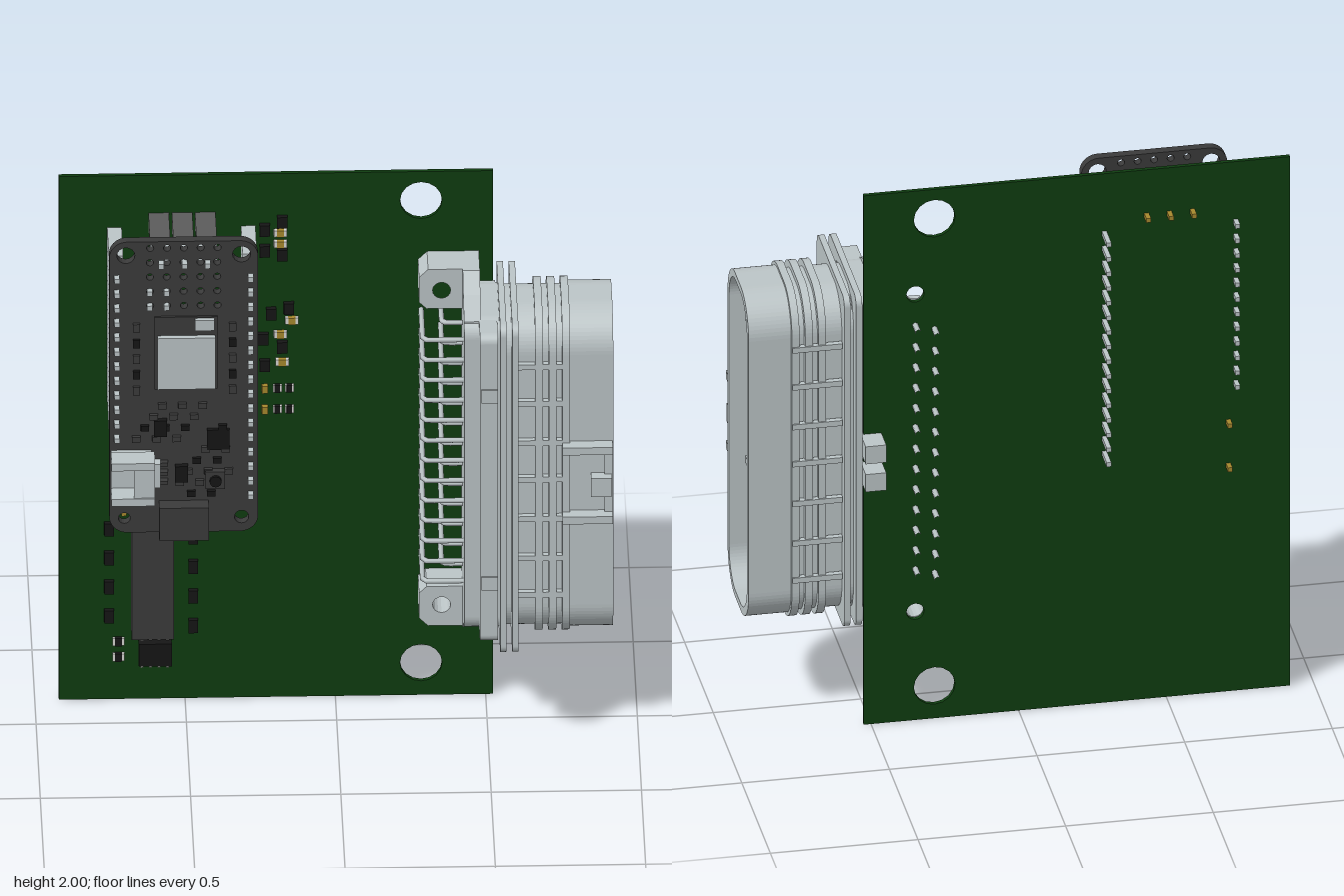
import * as THREE from 'three';

const mat = (name, color) => Object.assign(new THREE.MeshStandardMaterial({ color }), { name });

export function createModel() {
  const root = new THREE.Group();
  root.name = 'circuitBoardAssembly';
  const green = mat('boardGreen', 0x0f3d10), light = mat('lightGrey', 0xbcc5c7), dark = mat('darkGrey', 0x3b3b3b);
  const black = mat('black', 0x161616), grey = mat('headerGrey', 0x5c5c5c), gold = mat('gold', 0xa8892e);
  const white = mat('padWhite', 0xd8d8d4);

  const group = (name) => { const g = new THREE.Group(); g.name = name; root.add(g); return g; };
  const add = (parent, name, geo, m) => {
    const mesh = new THREE.Mesh(geo, m);
    mesh.name = name;
    parent.add(mesh);
    return mesh;
  };
  // box given by its limits on each axis
  const box = (parent, name, m, x0, x1, y0, y1, z0, z1) => {
    const b = add(parent, name, new THREE.BoxGeometry(x1 - x0, y1 - y0, z1 - z0), m);
    b.position.set((x0 + x1) / 2, (y0 + y1) / 2, (z0 + z1) / 2);
    return b;
  };
  const roundRect = (x0, x1, y0, y1, r, C = THREE.Shape) => {
    const s = new C();
    s.moveTo(x0 + r, y0);
    s.lineTo(x1 - r, y0); s.absarc(x1 - r, y0 + r, r, -Math.PI / 2, 0);
    s.lineTo(x1, y1 - r); s.absarc(x1 - r, y1 - r, r, 0, Math.PI / 2);
    s.lineTo(x0 + r, y1); s.absarc(x0 + r, y1 - r, r, Math.PI / 2, Math.PI);
    s.lineTo(x0, y0 + r); s.absarc(x0 + r, y0 + r, r, Math.PI, Math.PI * 1.5);
    s.closePath();
    return s;
  };
  const hole = (s, x, y, r) => s.holes.push(new THREE.Path().absarc(x, y, r, 0, Math.PI * 2, true));
  const plate = (parent, name, m, shape, z0, z1) => {
    const g = new THREE.ExtrudeGeometry(shape, { depth: z1 - z0, bevelEnabled: false, curveSegments: 8 });
    return add(parent, name, g.translate(0, 0, z0), m);
  };
  // extrude a (-z, y) outline along x
  const alongX = (parent, name, m, shape, x0, x1) => {
    const g = new THREE.ExtrudeGeometry(shape, { depth: x1 - x0, bevelEnabled: false, curveSegments: 8 });
    return add(parent, name, g.rotateY(Math.PI / 2).translate(x0, 0, 0), m);
  };
  const ring = (z0, z1, y0, y1, r, open = true) => {
    const s = roundRect(-z1, -z0, y0, y1, r);
    if (open) s.holes.push(roundRect(-0.163, 0.15, 0.425, 1.6, 0.115, THREE.Path));
    return s;
  };

  // main board
  const F = -0.163;
  const pcb = roundRect(-0.92, 0.525, 0, 2, 0.002);
  for (const y of [0.123, 1.89]) hole(pcb, 0.285, y, 0.07);
  for (const y of [0.41, 1.61]) hole(pcb, 0.35, y, 0.03);
  plate(root, 'mainBoard', green, pcb, -0.178, F);

  // connector housing
  const con = group('connector');
  alongX(con, 'connectorBase', light, ring(-0.16, 0.165, 0.42, 1.6, 0.06, false), 0.42, 0.56);
  alongX(con, 'connectorFlange', light, ring(-0.16, 0.245, 0.425, 1.595, 0.03, false), 0.47, 0.53);
  alongX(con, 'connectorShell', light, ring(-0.175, 0.178, 0.405, 1.615, 0.13), 0.55, 0.78);
  alongX(con, 'connectorRim', light, ring(-0.182, 0.188, 0.4, 1.625, 0.135), 0.77, 0.915);
  for (const x of [0.537, 0.577]) alongX(con, 'sealRidge', light, ring(-0.217, 0.265, 0.388, 1.638, 0.035), x, x + 0.021);
  for (const x of [0.655, 0.7, 0.745]) alongX(con, 'gripRib', light, ring(-0.195, 0.2, 0.39, 1.635, 0.14), x, x + 0.026);
  for (const y of [0.58, 0.72, 0.87, 1.02, 1.16, 1.31, 1.45])
    for (const z of [-0.188, 0.19]) box(con, 'crossRib', light, 0.6, 0.77, y - 0.01, y + 0.01, z - 0.012, z + 0.008);
  for (const y of [0.655, 1.37]) box(con, 'flangeTab', light, 0.475, 0.53, y - 0.025, y + 0.025, 0.24, 0.252);
  for (const y of [0.96, 1.065]) box(con, 'boardHook', light, 0.465, 0.535, y - 0.033, y + 0.033, -0.265, -0.15);
  // latch on the housing front
  for (const y of [0.883, 1.147]) box(con, 'latchRail', light, 0.745, 0.912, y - 0.014, y + 0.014, 0.18, 0.235);
  box(con, 'latchTab', light, 0.84, 0.91, 0.97, 1.04, 0.18, 0.23);
  box(con, 'latchBridge', light, 0.885, 0.912, 0.87, 1.16, 0.18, 0.2);
  // keys inside the opening
  for (const [y, z] of [[1.4, 0.13], [0.86, 0.13], [1.29, -0.12], [0.75, -0.12]])
    box(con, 'innerKey', light, 0.55, 0.86, y - 0.013, y + 0.013, z - 0.03, z + 0.03);

  // mounting ears, mirrored top and bottom about y = 1.014
  for (const s of [1, -1]) {
    const Y = (v) => 1.014 + s * (v - 1.014);
    const ear = new THREE.Shape();
    [[0.475, 1.545], [0.3, 1.545], [0.275, 1.57], [0.275, 1.665], [0.305, 1.695], [0.45, 1.695], [0.475, 1.67]]
      .forEach(([x, y], i) => (i ? ear.lineTo(x, Y(y)) : ear.moveTo(x, Y(y))));
    hole(ear, 0.35, Y(1.615), 0.03);
    plate(con, 'mountingEar', light, ear, F, -0.04);
    const web = new THREE.Shape();
    [[-0.163, 1.55], [-0.163, 1.695], [-0.03, 1.695], [0.04, 1.64], [0.14, 1.595], [0.14, 1.55]]
      .forEach(([z, y], i) => (i ? web.lineTo(-z, Y(y)) : web.moveTo(-z, Y(y))));
    alongX(con, 'earWeb', light, web, 0.42, 0.477);
  }

  // connector contacts: two bent rows plus the tips inside the shell
  const rod = (parent, name, m, pts, r) => {
    const path = new THREE.CurvePath();
    const v = pts.map((p) => new THREE.Vector3(...p));
    for (let i = 1; i < v.length; i++) path.add(new THREE.LineCurve3(v[i - 1], v[i]));
    return add(parent, name, new THREE.TubeGeometry(path, 18, r, 6), m);
  };
  for (let i = 0; i < 13; i++) {
    const y = 0.552 + i * 0.0768;
    for (const [x, z, dy] of [[0.285, 0.045, 0], [0.35, -0.035, 0.02]]) {
      rod(con, 'contactPin', light, [[x, y + dy, -0.232], [x, y + dy, z - 0.015], [x + 0.015, y + dy, z], [0.44, y + dy, z]], 0.01);
      box(con, 'contactTip', light, 0.55, 0.8, y - 0.01, y + 0.01, z + 0.002, z + 0.022);
    }
  }

  // daughter board
  const top = group('daughterBoard');
  const fb = roundRect(-0.76, -0.265, 0.8, 1.91, 0.06);
  for (const [x, y, r] of [[-0.705, 1.858, 0.03], [-0.32, 1.858, 0.03], [-0.71, 0.855, 0.02], [-0.32, 0.855, 0.024]]) hole(fb, x, y, r);
  for (let r = 0; r < 5; r++) for (let c = 0; c < 5; c++)
    hole(fb, -0.625 + c * 0.056 + (r % 4 ? 0 : 0.001), 1.885 - r * 0.055, 0.012);
  plate(top, 'daughterPlate', dark, fb, 0.095, 0.127);
  box(top, 'radioModuleBase', dark, -0.61, -0.4, 1.35, 1.625, 0.127, 0.135);
  box(top, 'radioShield', light, -0.6, -0.408, 1.36, 1.555, 0.135, 0.155);
  box(top, 'antennaChip', light, -0.475, -0.41, 1.58, 1.62, 0.135, 0.15);
  box(top, 'usbSocket', dark, -0.595, -0.43, 0.795, 0.92, 0.127, 0.18);
  box(top, 'processor', black, -0.435, -0.36, 1.12, 1.195, 0.127, 0.142);
  box(top, 'resetButton', dark, -0.44, -0.375, 0.975, 1.04, 0.127, 0.15);
  const button = add(top, 'buttonCap', new THREE.CylinderGeometry(0.02, 0.02, 0.012, 12), black);
  button.rotation.x = Math.PI / 2;
  button.position.set(-0.407, 1.007, 0.155);
  // battery socket
  box(top, 'socketBack', light, -0.63, -0.59, 0.99, 1.08, 0.127, 0.165);
  box(top, 'socketFloor', light, -0.755, -0.62, 0.955, 1.115, 0.127, 0.15);
  for (const y of [0.955, 1.09]) box(top, 'socketWall', light, -0.755, -0.61, y, y + 0.028, 0.145, 0.225);
  box(top, 'socketRoof', light, -0.68, -0.61, 0.955, 1.118, 0.185, 0.22);
  for (const y of [1.0, 1.035, 1.07]) box(top, 'socketLead', dark, -0.6, -0.565, y - 0.006, y + 0.006, 0.127, 0.15);
  // small parts across the lower half
  for (let i = 0; i < 34; i++) {
    const x = -0.68 + ((i * 37) % 34) * 0.0096, y = 0.95 + (i % 9) * 0.042;
    if (x < -0.55 && y < 1.13) continue;
    box(top, 'smallPart', i % 3 ? dark : black, x - 0.014, x + 0.014, y - 0.01, y + 0.01, 0.127, 0.14);
  }
  for (const x of [-0.67, -0.35]) for (let i = 0; i < 5; i++)
    box(top, 'sidePart', i % 2 ? black : dark, x - 0.012, x + 0.012, 1.33 + i * 0.06, 1.36 + i * 0.06, 0.127, 0.138);
  for (const [x, y] of [[-0.59, 1.205], [-0.52, 1.03]])
    box(top, 'smallChip', black, x - 0.022, x + 0.022, y - 0.03, y + 0.03, 0.127, 0.147);

  // stacking headers, one cell per pin
  const headers = group('headers');
  const cell = (x, y, m, pinMat, back, w = 0.024) => {
    box(headers, 'headerSocket', m, x - w, x + w, y - 0.027, y + 0.027, F, 0.028);
    box(headers, 'headerSpacer', light, x - w, x + w, y - 0.02, y + 0.02, 0.04, 0.095);
    box(headers, 'headerPin', pinMat, x - 0.008, x + 0.008, y - 0.008, y + 0.008, back, -0.16);
    box(headers, 'headerPinTop', light, x - 0.009, x + 0.009, y - 0.009, y + 0.009, 0.02, 0.155);
  };
  for (let i = 0; i < 16; i++) {
    cell(-0.29, 1.775 - i * 0.0554, light, light, -0.262);
    if (i < 12) cell(-0.735, 1.775 - i * 0.0554, light, light, -0.217);
  }
  for (const x of [-0.588, -0.51, -0.433]) cell(x, 1.829, grey, gold, -0.217, 0.034);
  for (const y of [1.02, 0.855]) {
    box(headers, 'postSocket', grey, -0.735, -0.685, y - 0.025, y + 0.025, F, 0.028);
    box(headers, 'postPin', gold, -0.718, -0.702, y - 0.008, y + 0.008, -0.212, 0.1);
  }
  for (const [x, y] of [[-0.57, 1.72], [-0.626, 1.72], [-0.57, 1.665], [-0.626, 1.665]])
    box(headers, 'protoPin', light, x - 0.009, x + 0.009, y - 0.009, y + 0.009, 0.1, 0.145);

  // parts soldered to the main board
  const parts = group('boardParts');
  box(parts, 'relay', dark, -0.68, -0.54, 0.28, 0.715, F, -0.065);
  box(parts, 'driverChip', black, -0.655, -0.545, 0.145, 0.23, F, -0.122);
  for (let i = 0; i < 4; i++)
    box(parts, 'chipLead', white, -0.648 + i * 0.028, -0.638 + i * 0.028, 0.125, 0.25, F, -0.15);
  const smd = (x, y, w, h, m, z = -0.145) => box(parts, 'surfacePart', m, x - w, x + w, y - h, y + h, F, z);
  for (let i = 0; i < 4; i++) {
    smd(-0.753, 0.655 - i * 0.111, 0.016, 0.024, black);
    smd(-0.473, 0.62 - i * 0.113, 0.016, 0.024, black);
  }
  for (const [x, y] of [[-0.235, 1.79], [-0.177, 1.82], [-0.235, 1.71], [-0.177, 1.695], [-0.214, 1.47], [-0.155, 1.49],
    [-0.24, 1.374], [-0.177, 1.342], [-0.235, 1.273]]) smd(x, y, 0.017, 0.021, black);
  for (const [x, y] of [[-0.183, 1.777], [-0.183, 1.735], [-0.145, 1.443], [-0.183, 1.39], [-0.177, 1.284]]) {
    smd(x, y, 0.022, 0.012, white, -0.148);
    smd(x, y, 0.012, 0.0125, gold, -0.146);
  }
  for (const y of [1.183, 1.103]) {
    smd(-0.235, y, 0.01, 0.014, gold);
    for (const x of [-0.193, -0.153]) { smd(x, y, 0.015, 0.013, white, -0.152); smd(x, y, 0.009, 0.014, black, -0.15); }
  }
  for (const y of [0.223, 0.164]) { smd(-0.722, y, 0.02, 0.014, white, -0.152); smd(-0.722, y, 0.012, 0.015, black, -0.15); }
  return root;
}
